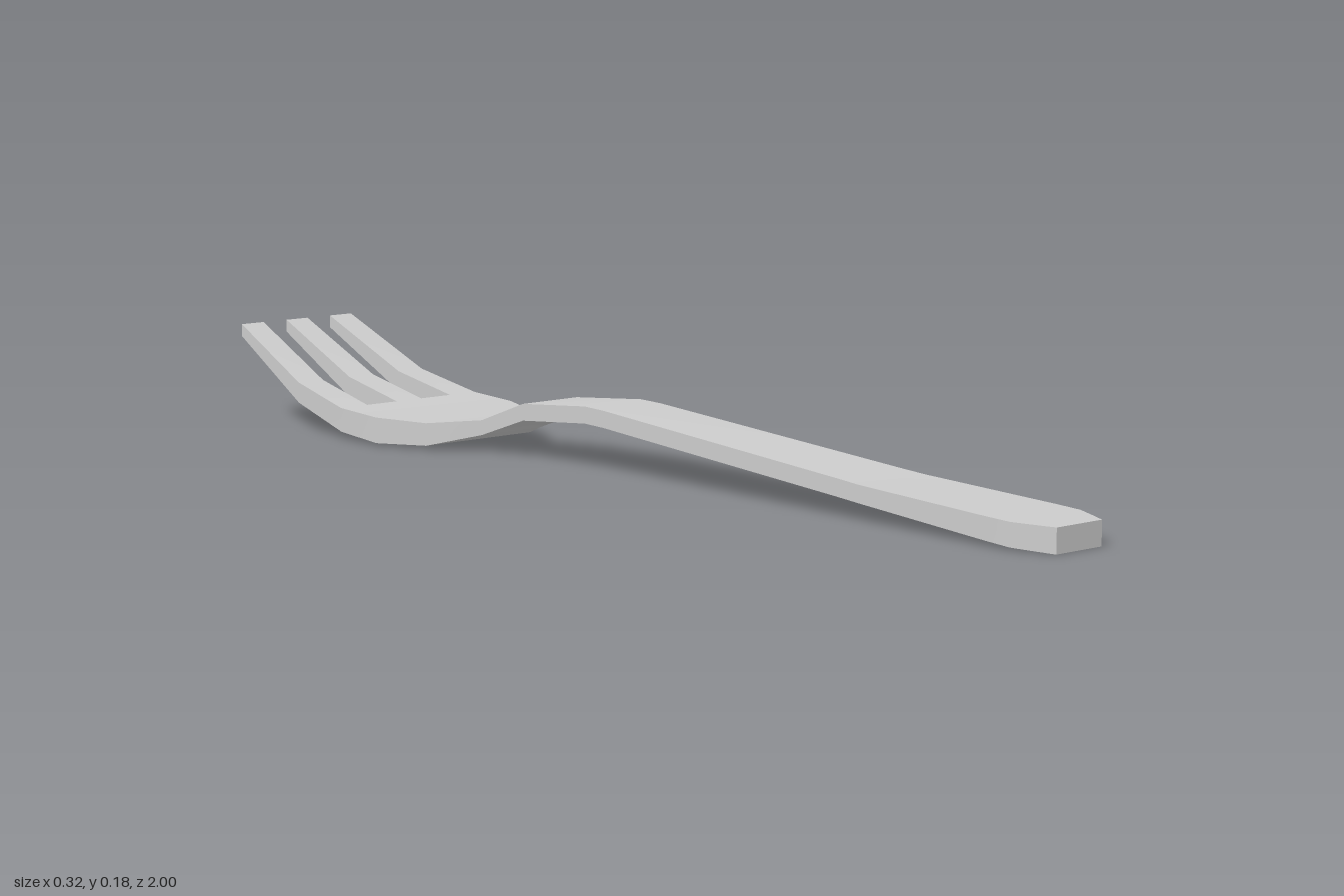
import * as THREE from 'three';
import { mergeGeometries, toCreasedNormals } from 'three/addons/utils/BufferGeometryUtils.js';

// Side profile of the whole fork: [z, underside y, top y]
const PROFILE = [
  [1, 0, 0.042], [0.93, 0.005, 0.045], [0.6, 0.031, 0.061], [-0.03, 0.081, 0.111], [-0.08, 0.083, 0.113],
  [-0.25, 0.069, 0.099], [-0.36, 0.031, 0.058], [-0.45, 0.007, 0.048],
  [-0.55, 0.004, 0.051], [-0.655, 0.013, 0.057], [-0.8, 0.05, 0.088], [-1, 0.155, 0.178],
];

// Bottom and top height at any z, interpolated along the profile
function heights(z) {
  const i = Math.max(1, PROFILE.findIndex((p) => p[0] <= z + 1e-6));
  const [a, b] = [PROFILE[i - 1], PROFILE[i]];
  const t = (z - a[0]) / (b[0] - a[0]);
  return [THREE.MathUtils.lerp(a[1], b[1], t), THREE.MathUtils.lerp(a[2], b[2], t)];
}

// Bar through rows of [z, x0, x1], running from front to back
function bar(rows, capFront, capBack) {
  const pos = [], idx = [];
  for (const [z, x0, x1] of rows) {
    const [yb, yt] = heights(z);
    pos.push(x0, yb, z, x1, yb, z, x1, yt, z, x0, yt, z);
  }
  for (let r = 0; r < rows.length - 1; r++) {
    for (let i = 0; i < 4; i++) {
      const a = r * 4 + i, b = r * 4 + (i + 1) % 4;
      idx.push(a, a + 4, b + 4, a, b + 4, b);
    }
  }
  const e = (rows.length - 1) * 4;
  if (capFront) idx.push(0, 1, 2, 0, 2, 3);
  if (capBack) idx.push(e, e + 2, e + 1, e, e + 3, e + 2);
  const geo = new THREE.BufferGeometry();
  geo.setAttribute('position', new THREE.Float32BufferAttribute(pos, 3));
  geo.setIndex(idx);
  return geo.toNonIndexed();
}

// Upright wall facing the back, closing the root of a slot
function slotWall(z, x0, x1) {
  const [yb, yt] = heights(z);
  const geo = new THREE.PlaneGeometry(x1 - x0, yt - yb).rotateY(Math.PI);
  geo.translate((x0 + x1) / 2, (yb + yt) / 2, z);
  geo.deleteAttribute('uv');
  geo.deleteAttribute('normal');
  return geo.toNonIndexed();
}

const symmetric = (rows) => rows.map(([z, w]) => [z, -w, w]);

export function createModel() {
  const group = new THREE.Group();
  group.name = 'fork';
  const material = new THREE.MeshStandardMaterial({ color: 0xcccccc });
  const add = (name, geos) => {
    const mesh = new THREE.Mesh(toCreasedNormals(mergeGeometries(geos), 0.6), material);
    mesh.name = name;
    group.add(mesh);
  };

  // Handle, with clipped corners at the grip end
  add('handle', [bar(symmetric([
    [1, 0.052], [0.975, 0.063], [0.93, 0.081], [0.88, 0.082], [0.6, 0.077], [0.55, 0.075],
    [-0.03, 0.067], [-0.08, 0.066], [-0.25, 0.063], [-0.36, 0.067],
  ]), true, false)]);

  // Head: flared bowl, three tines and the two slot roots
  const root = -0.655;
  const head = [
    bar(symmetric([[-0.36, 0.067], [-0.45, 0.123], [-0.55, 0.159], [root, 0.158]]), false, false),
    bar(symmetric([[root, 0.029], [-0.8, 0.028], [-1, 0.025]]), false, true),
  ];
  for (const s of [-1, 1]) {
    const rows = [[root, 0.098, 0.158], [-0.8, 0.09, 0.146], [-1, 0.079, 0.13]];
    const side = (a, b) => (s > 0 ? [a, b] : [-b, -a]);
    head.push(bar(rows.map(([z, a, b]) => [z, ...side(a, b)]), false, true));
    head.push(slotWall(root, ...side(0.029, 0.098)));
  }
  add('head', head);

  return group;
}
